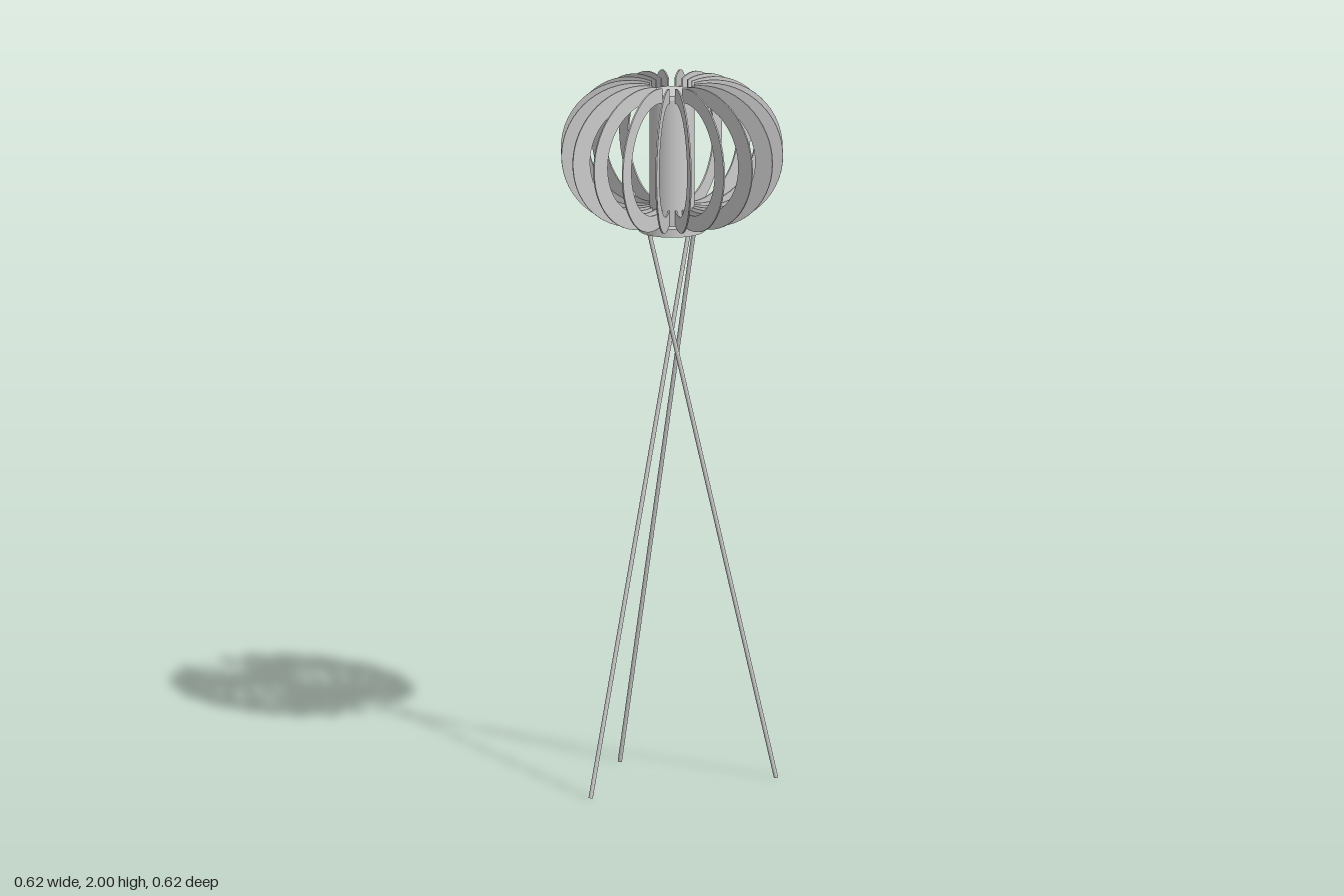
import * as THREE from 'three';

export function createModel() {
  const model = new THREE.Group();
  model.name = 'floorLamp';
  const grey = new THREE.MeshStandardMaterial({ color: 0xcccccc });
  grey.name = 'light grey';

  const add = (parent, name, geometry) => {
    const mesh = new THREE.Mesh(geometry, grey);
    mesh.name = name;
    parent.add(mesh);
    return mesh;
  };

  // Round plate that carries the shade
  add(model, 'basePlate', new THREE.CylinderGeometry(0.093, 0.093, 0.024, 48)).position.y = 1.59;

  // Inner light tube with a slightly eased top edge
  const profile = [[0, 1.6], [0.062, 1.6], [0.062, 1.6], [0.062, 1.962], [0.062, 1.962], [0.058, 1.972], [0.058, 1.972], [0, 1.972]];
  add(model, 'lightTube', new THREE.LatheGeometry(profile.map(([x, y]) => new THREE.Vector2(x, y)), 40));

  // C-shaped shade fin: outer arc, then inner arc back, both cut at the tube
  const cut = 0.062;
  const arc = (cx, r) => {
    const end = Math.acos((cut - cx) / r);
    return Array.from({ length: 33 }, (_, i) => {
      const a = end * (i / 16 - 1);
      return new THREE.Vector2(cx + r * Math.cos(a), 1.8 + r * Math.sin(a));
    });
  };
  const finShape = new THREE.Shape([...arc(0.11, 0.2), ...arc(0.1, 0.157).reverse()]);
  const thickness = 0.004;
  const finGeometry = new THREE.ExtrudeGeometry(finShape, { depth: thickness, bevelEnabled: false });
  finGeometry.translate(0, 0, -thickness / 2);

  // Twenty fins around the tube
  const shade = new THREE.Group();
  shade.name = 'shade';
  model.add(shade);
  for (let i = 0; i < 20; i++) {
    add(shade, 'shadeFin', finGeometry).rotation.y = (i * Math.PI) / 10;
  }

  // Three crossing rod legs, from floor to plate
  const legs = [
    [[-0.283, 0.002, 0.055], [0.075, 1.58, -0.034]],
    [[0.278, 0.002, 0.089], [-0.075, 1.58, 0.007]],
    [[-0.02, 0.002, -0.271], [0.032, 1.58, 0.068]],
  ];
  const up = new THREE.Vector3(0, 1, 0);
  for (const [foot, top] of legs) {
    const a = new THREE.Vector3(...foot);
    const b = new THREE.Vector3(...top);
    const leg = add(model, 'leg', new THREE.CylinderGeometry(0.006, 0.006, a.distanceTo(b), 16));
    leg.position.copy(a).lerp(b, 0.5);
    leg.quaternion.setFromUnitVectors(up, b.sub(a).normalize());
  }
  return model;
}
